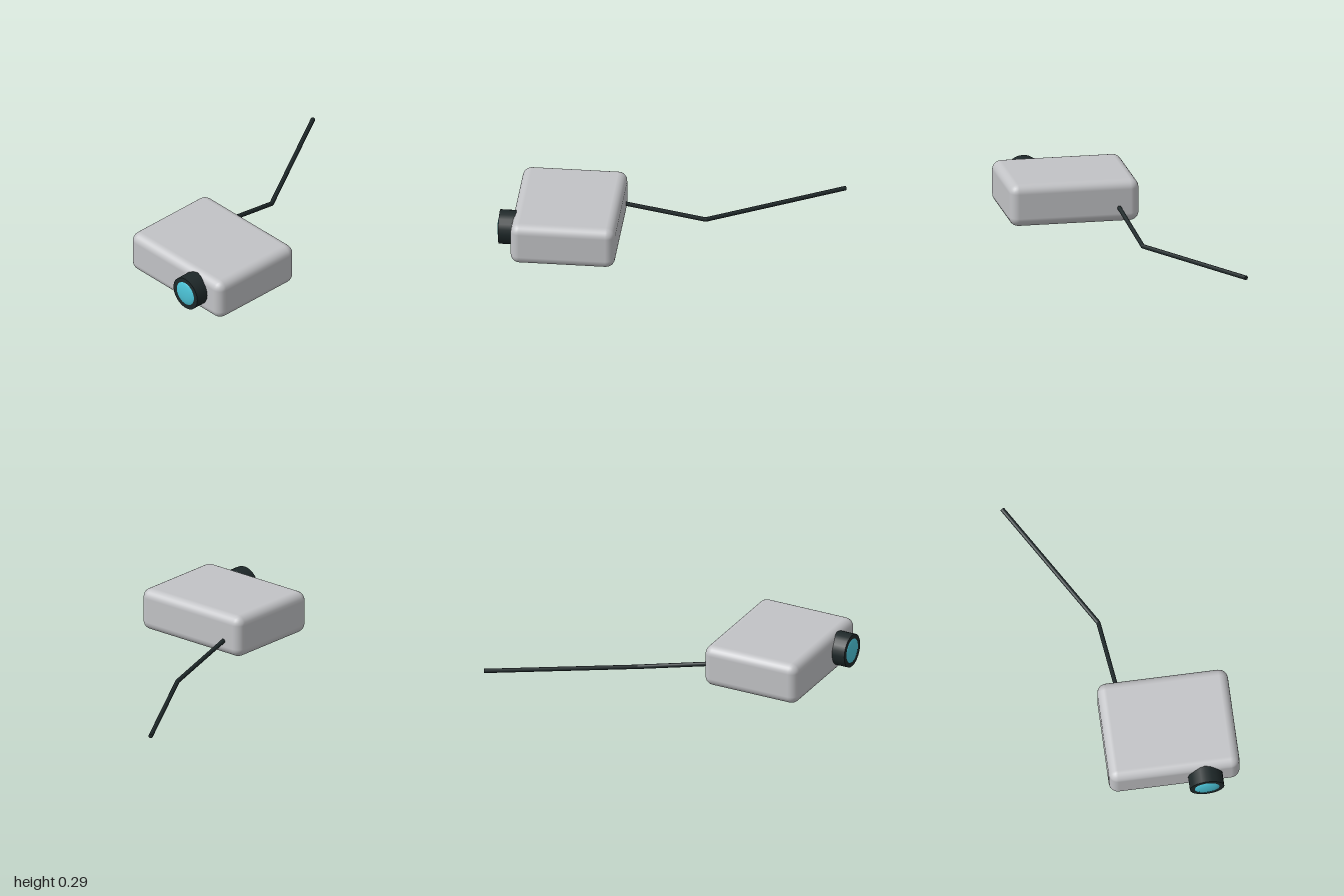
import * as THREE from 'three';
import { RoundedBoxGeometry } from 'three/addons/geometries/RoundedBoxGeometry.js';

export function createModel() {
  const model = new THREE.Group();
  model.name = 'projector';

  const material = (name, color) => {
    const m = new THREE.MeshStandardMaterial({ color });
    m.name = name;
    return m;
  };
  const grey = material('light grey casing', 0xc2c3c6);
  const dark = material('dark rubber', 0x1e2829);
  const cyan = material('cyan glass', 0x4cc4d8);

  const add = (name, geometry, mat, x, y, z, parent = model) => {
    const mesh = new THREE.Mesh(geometry, mat);
    mesh.name = name;
    mesh.position.set(x, y, z);
    parent.add(mesh);
    return mesh;
  };

  // Casing
  add('casing', new RoundedBoxGeometry(0.79, 0.26, 0.63, 3, 0.055), grey, 0.205, 0.16, 0.59);

  // Lens barrel with a shallow domed glass
  const barrel = new THREE.CylinderGeometry(0.104, 0.104, 0.125, 20).rotateX(Math.PI / 2);
  add('lensBarrel', barrel, dark, 0.387, 0.173, 0.925);
  const glass = new THREE.SphereGeometry(0.081, 24, 16).scale(1, 1, 0.25);
  add('lensGlass', glass, cyan, 0.387, 0.173, 0.98);

  // Feet
  for (const x of [-0.06, 0.465]) {
    add('foot', new THREE.CylinderGeometry(0.028, 0.028, 0.03, 14), dark, x, 0.031, 0.595);
  }

  // Power cable: straight runs joined by a ball at the bend
  const cable = new THREE.Group();
  cable.name = 'powerCable';
  model.add(cable);
  const radius = 0.0135;
  const points = [[-0.061, 0.127, 0.3], [-0.113, 0.0135, -0.2], [-0.588, 0.0135, -0.993]]
    .map((p) => new THREE.Vector3(...p));
  for (let i = 0; i < 2; i++) {
    const dir = points[i + 1].clone().sub(points[i]);
    const mid = points[i].clone().addScaledVector(dir, 0.5);
    const run = add('cableRun', new THREE.CylinderGeometry(radius, radius, dir.length(), 10),
      dark, mid.x, mid.y, mid.z, cable);
    run.quaternion.setFromUnitVectors(new THREE.Vector3(0, 1, 0), dir.normalize());
  }
  add('cableBend', new THREE.SphereGeometry(radius, 10, 8), dark, ...points[1].toArray(), cable);

  return model;
}
